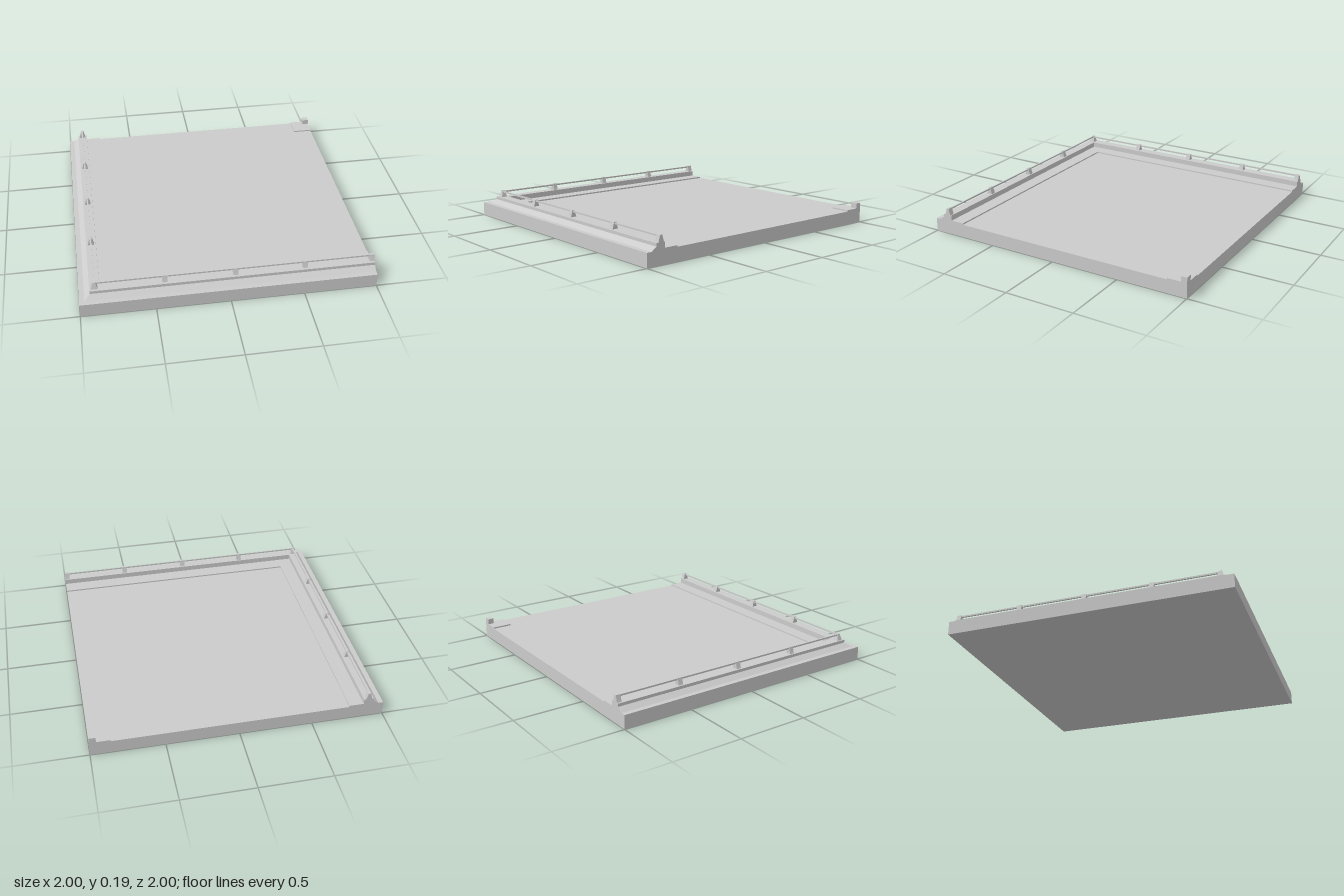
import * as THREE from 'three';

const material = new THREE.MeshStandardMaterial({ color: 0xcccccc, flatShading: true });

function addMesh(parent, name, geometry) {
  const mesh = new THREE.Mesh(geometry, material);
  mesh.name = name;
  parent.add(mesh);
  return mesh;
}

// Box given by its minimum and maximum corners
function addBox(parent, name, min, max) {
  const size = max.map((v, i) => v - min[i]);
  const mesh = addMesh(parent, name, new THREE.BoxGeometry(...size));
  mesh.position.set(...min.map((v, i) => v + size[i] / 2));
  return mesh;
}

function shapeOf(points) {
  return new THREE.Shape(points.map(([x, y]) => new THREE.Vector2(x, y)));
}

const SLAB_TOP = 0.096;
const PAD_TOP = 0.106;
const CURB_TOP = 0.144;

// Parapet section: distance in from the roof edge, height
const parapetSection = [
  [0.035, SLAB_TOP], [0.24, SLAB_TOP], [0.24, PAD_TOP], [0.14, PAD_TOP],
  [0.14, CURB_TOP], [0.072, CURB_TOP], [0.072, 0.123],
];

// Extrude the section, then place its two ends so the arms meet in a mitre
function parapetGeometry(place) {
  const geometry = new THREE.ExtrudeGeometry(shapeOf(parapetSection), { depth: 1, bevelEnabled: false });
  const p = geometry.attributes.position;
  for (let i = 0; i < p.count; i++) {
    p.setXYZ(i, ...place(p.getX(i), p.getY(i), p.getZ(i) > 0.5));
  }
  geometry.computeVertexNormals();
  return geometry;
}

// Tapered rail post, extruded along the rail (local z)
const postSection = [
  [-0.022, CURB_TOP], [0.022, CURB_TOP], [0.018, 0.156],
  [0.011, 0.182], [0.009, 0.191], [-0.009, 0.191], [-0.011, 0.182], [-0.018, 0.156],
];
const POST_LENGTH = 0.034;
const postGeometry = new THREE.ExtrudeGeometry(shapeOf(postSection), { depth: POST_LENGTH, bevelEnabled: false });
postGeometry.translate(0, 0, -POST_LENGTH / 2);

export function createModel() {
  const model = new THREE.Group();
  model.name = 'roofCorner';

  addBox(model, 'slab', [-1, 0, -1], [1, SLAB_TOP, 1]);

  // Mitred parapet arms along the front and right edges
  addMesh(model, 'frontParapet', parapetGeometry((d, y, far) => [far ? 1 : -1 + d, y, 1 - d]));
  addMesh(model, 'rightParapet', parapetGeometry((d, y, far) => [-1 + d, y, far ? 1 - d : -1]));

  // Inner corner return at the back left
  addBox(model, 'cornerPad', [0.86, SLAB_TOP, -1], [1, PAD_TOP, -0.86]);
  addBox(model, 'cornerBlock', [0.953, PAD_TOP, -1], [1, CURB_TOP, -0.957]);

  // Rails
  const r = 0.005;
  addBox(model, 'frontRail', [-0.895, 0.176, 0.89 - r], [1, 0.187, 0.89 + r]);
  addBox(model, 'rightRail', [-0.895 - r, 0.176, -1], [-0.895 + r, 0.187, 0.89]);

  // Posts along both rails; the corner one is tapered both ways
  const along = [-0.895, -0.43, 0.045, 0.52, 0.983];
  along.forEach((a, i) => {
    if (i === 0) return;
    const front = addMesh(model, 'frontPost', postGeometry);
    front.position.set(a, 0, 0.89);
    front.rotation.y = Math.PI / 2;
    const right = addMesh(model, 'rightPost', postGeometry);
    right.position.set(-0.895, 0, -a);
  });
  const corner = addMesh(model, 'cornerPost', new THREE.CylinderGeometry(0.013, 0.031, 0.047, 4));
  corner.rotation.y = Math.PI / 4;
  corner.position.set(-0.895, CURB_TOP + 0.0235, 0.89);

  return model;
}
